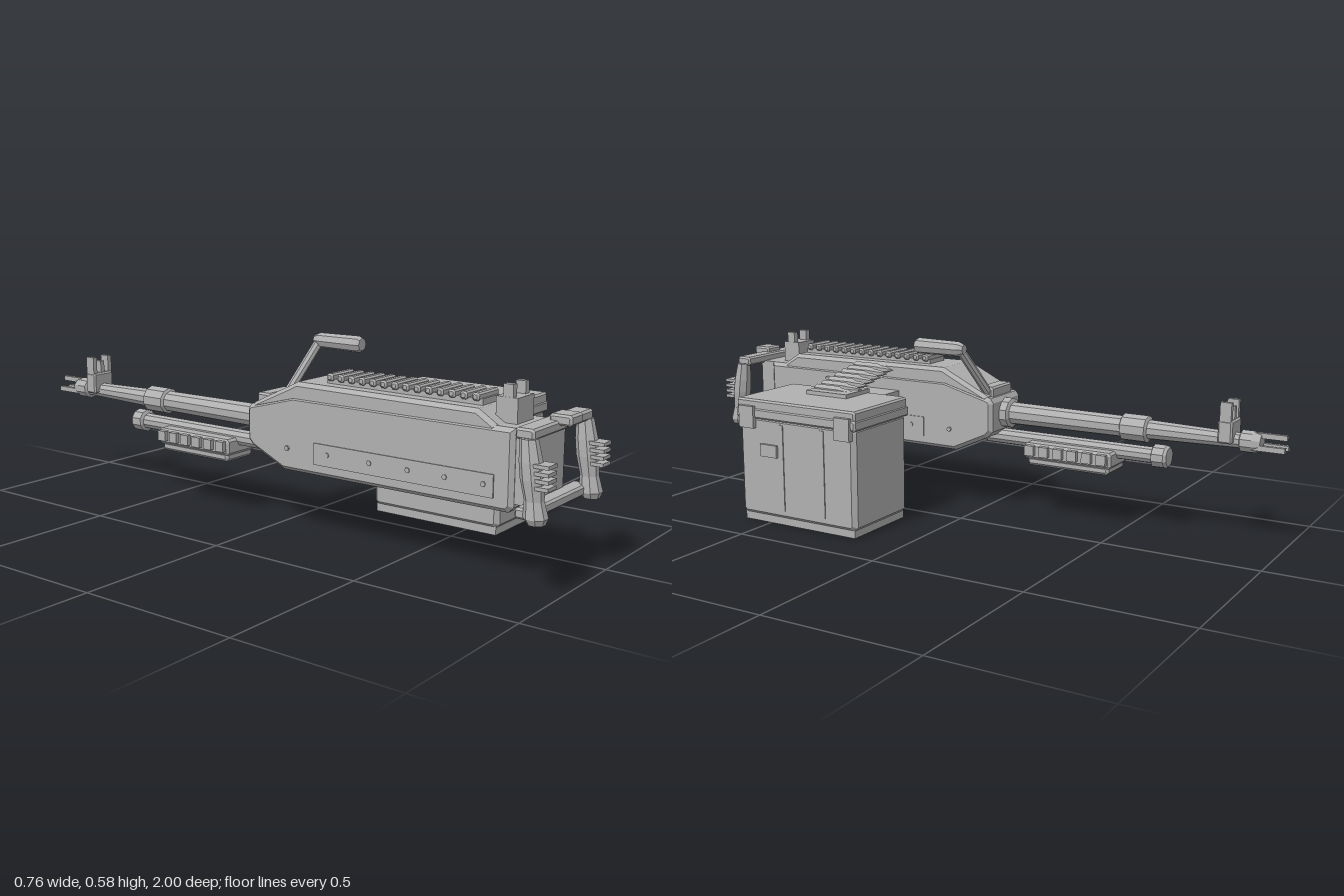
import * as THREE from 'three';

const CX = -0.19; // centre plane of the receiver and barrel

export function createModel() {
  const model = new THREE.Group();
  model.name = 'mountedGun';
  const grey = new THREE.MeshStandardMaterial({ color: 0xb0b0b0 });
  grey.name = 'gunmetalGrey';

  // Adds a facetted mesh
  function add(name, geometry, parent = model) {
    const g = geometry.index ? geometry.toNonIndexed() : geometry;
    g.computeVertexNormals();
    const m = new THREE.Mesh(g, grey);
    m.name = name;
    parent.add(m);
    return m;
  }
  function group(name) {
    const g = new THREE.Group();
    g.name = name;
    model.add(g);
    return g;
  }
  // Box given by its limits on each axis
  function box(name, x0, x1, y0, y1, z0, z1, parent) {
    const g = new THREE.BoxGeometry(x1 - x0, y1 - y0, z1 - z0);
    g.translate((x0 + x1) / 2, (y0 + y1) / 2, (z0 + z1) / 2);
    return add(name, g, parent);
  }
  // Side profile of [z, y] points, extruded across x with bevelled edges
  function profile(name, pts, x0, x1, b, parent) {
    const shape = new THREE.Shape(pts.map(([z, y]) => new THREE.Vector2(z, y)));
    const g = new THREE.ExtrudeGeometry(shape, {
      depth: x1 - x0 - 2 * b, bevelEnabled: true, bevelThickness: b,
      bevelSize: b, bevelOffset: -b, bevelSegments: 1,
    });
    g.rotateY(-Math.PI / 2);
    g.translate(x1 - b, 0, 0);
    return add(name, g, parent);
  }
  // Box with all its edges chamfered
  function chamferBox(name, x0, x1, y0, y1, z0, z1, c, parent) {
    return profile(name, [
      [z0 + c, y0], [z1 - c, y0], [z1, y0 + c], [z1, y1 - c],
      [z1 - c, y1], [z0 + c, y1], [z0, y1 - c], [z0, y0 + c],
    ], x0, x1, c, parent);
  }
  // Turned part along -z; points are [radius, distance towards the muzzle]
  function turned(name, pts, x, y, sides, parent) {
    const g = new THREE.LatheGeometry(pts.map(([r, d]) => new THREE.Vector2(r, d)), sides);
    g.rotateX(-Math.PI / 2);
    g.translate(x, y, 0);
    return add(name, g, parent);
  }
  // Straight rod between two points
  function rod(name, a, b, r, sides, parent) {
    const p = new THREE.Vector3(...a), q = new THREE.Vector3(...b);
    const g = new THREE.CylinderGeometry(r, r, p.distanceTo(q), sides);
    g.applyQuaternion(new THREE.Quaternion().setFromUnitVectors(
      new THREE.Vector3(0, 1, 0), q.clone().sub(p).normalize()));
    g.translate((p.x + q.x) / 2, (p.y + q.y) / 2, (p.z + q.z) / 2);
    return add(name, g, parent);
  }

  // Receiver with sloped nose, and top cover
  const receiver = group('receiver');
  profile('receiverBody', [
    [0.84, 0.2], [0.855, 0.215], [0.855, 0.43], [0.12, 0.43], [-0.05, 0.385],
    [-0.06, 0.37], [-0.06, 0.275], [-0.04, 0.255], [0.08, 0.2],
  ], -0.288, -0.092, 0.012, receiver);
  profile('topCover', [
    [0.8, 0.41], [0.8, 0.43], [0.74, 0.468], [0.13, 0.472], [0.1, 0.457],
    [-0.04, 0.39], [-0.04, 0.37], [0.12, 0.41],
  ], -0.284, -0.096, 0.012, receiver);
  box('rearBlock', -0.275, -0.105, 0.225, 0.43, 0.85, 0.91, receiver);
  for (const s of [-1, 1]) {
    const x = CX + s * 0.0985;
    box('sidePlate', x - 0.003, x + 0.003, 0.235, 0.3, 0.2, 0.8, receiver);
    for (const z of [0.1, 0.25, 0.4, 0.53, 0.65, 0.77]) {
      rod('rivet', [x - 0.006, 0.27, z], [x + 0.006, 0.27, z], 0.008, 6, receiver);
    }
  }

  // Ribbed rail on the cover
  const rail = group('topRail');
  box('railBase', CX - 0.045, CX + 0.045, 0.46, 0.486, 0.21, 0.73, rail);
  for (let i = 0; i < 14; i++) {
    const z = 0.225 + i * 0.0375;
    chamferBox('railRib', CX - 0.056, CX + 0.056, 0.48, 0.502, z - 0.011, z + 0.011, 0.005, rail);
  }

  // Rear sight with two posts
  const rear = group('rearSight');
  box('rearSightBase', CX - 0.045, CX + 0.045, 0.43, 0.5, 0.77, 0.835, rear);
  for (const s of [-1, 1]) {
    box('rearSightPost', CX + s * 0.034 - 0.01, CX + s * 0.034 + 0.01, 0.5, 0.535, 0.79, 0.82, rear);
  }

  // Spade grips between two crossbars
  const grips = group('spadeGrips');
  chamferBox('upperCrossbar', -0.36, -0.02, 0.423, 0.453, 0.895, 0.95, 0.006, grips);
  chamferBox('lowerCrossbar', -0.36, -0.02, 0.215, 0.245, 0.9, 0.95, 0.006, grips);
  chamferBox('trigger', CX - 0.035, CX + 0.035, 0.44, 0.47, 0.92, 0.985, 0.006, grips);
  for (const s of [-1, 1]) {
    const x = CX + s * 0.16;
    const g = new THREE.LatheGeometry([
      [0, 0.208], [0.024, 0.208], [0.033, 0.225], [0.026, 0.27], [0.032, 0.325],
      [0.031, 0.37], [0.024, 0.428], [0, 0.428],
    ].map(([r, y]) => new THREE.Vector2(r, y)), 8);
    g.rotateY(Math.PI / 8);
    // Lean the top of the grip towards the receiver
    const p = g.attributes.position;
    for (let i = 0; i < p.count; i++) p.setZ(i, p.getZ(i) + (0.32 - p.getY(i)) * 0.13);
    g.translate(x, 0, 0.945);
    add('grip', g, grips);
    for (let i = 0; i < 4; i++) {
      const y = 0.307 + i * 0.019;
      box('gripRidge', x - 0.023, x + 0.023, y - 0.005, y + 0.005, 0.955, 1, grips);
    }
  }

  // Barrel, collar and muzzle
  const barrel = group('barrel');
  turned('barrelTube', [
    [0, 0.03], [0.05, 0.03], [0.05, 0.085], [0.037, 0.09], [0.034, 0.48],
    [0.043, 0.485], [0.043, 0.565], [0.031, 0.57], [0.024, 0.85], [0.024, 0.86],
    [0.034, 0.865], [0.034, 0.9], [0.027, 0.925], [0, 0.925],
  ], CX, 0.327, 10, barrel);
  for (let i = 0; i < 3; i++) {
    const a = Math.PI / 2 + i * Math.PI * 2 / 3;
    const x = CX + Math.cos(a) * 0.023, y = 0.327 + Math.sin(a) * 0.023;
    box('muzzleProng', x - 0.007, x + 0.007, y - 0.008, y + 0.008, -1, -0.9, barrel);
  }

  // Front sight with three posts
  const front = group('frontSight');
  chamferBox('frontSightBase', CX - 0.042, CX + 0.042, 0.32, 0.39, -0.845, -0.8, 0.005, front);
  for (const i of [-1, 0, 1]) {
    box('frontSightPost', CX + i * 0.033 - 0.008, CX + i * 0.033 + 0.008, 0.385,
      i ? 0.445 : 0.43, -0.84, -0.805, front);
  }

  // Lower tube with ribbed foregrip
  const lower = group('lowerTube');
  turned('gasTube', [
    [0, 0], [0.026, 0], [0.026, 0.585], [0.037, 0.59], [0.037, 0.628], [0.03, 0.637], [0, 0.637],
  ], CX, 0.247, 10, lower);
  chamferBox('foregripBody', CX - 0.07, CX + 0.07, 0.198, 0.25, -0.47, -0.165, 0.008, lower);
  chamferBox('foregripBase', CX - 0.062, CX + 0.062, 0.176, 0.205, -0.46, -0.175, 0.008, lower);
  for (const s of [-1, 1]) {
    for (let i = 0; i < 6; i++) {
      const z = -0.19 - i * 0.0505;
      box('foregripRib', CX + s * 0.072 - 0.012, CX + s * 0.072 + 0.012, 0.212, 0.245, z - 0.016, z + 0.016, lower);
    }
  }

  // Carry handle on a lug at the nose
  const carry = group('carryHandle');
  chamferBox('handleLug', -0.255, -0.125, 0.37, 0.418, -0.045, 0.005, 0.006, carry);
  rod('handleArm', [-0.14, 0.39, -0.025], [-0.013, 0.555, 0.012], 0.015, 8, carry);
  turned('handleGrip', [
    [0, -0.175], [0.02, -0.175], [0.026, -0.165], [0.024, -0.015], [0.016, 0.005], [0, 0.005],
  ], -0.013, 0.555, 8, carry);

  // Feed tray and ammunition belt
  const feed = group('feed');
  box('feedTray', -0.1, 0.085, 0.35, 0.38, 0.3, 0.46, feed);
  box('feedOutlet', 0.08, 0.208, 0.398, 0.415, 0.3, 0.46, feed);
  box('sideBracket', -0.1, -0.035, 0.35, 0.38, 0.53, 0.6, feed);
  box('bracketLug', -0.1, -0.078, 0.375, 0.402, 0.53, 0.6, feed);
  for (let i = 0; i < 7; i++) {
    const x = -0.06 + i * 0.0362, y = 0.454 - i * 0.0073;
    turned('cartridge', [
      [0, -0.455], [0.018, -0.455], [0.018, -0.365], [0.012, -0.35], [0.011, -0.33], [0, -0.3],
    ], x, y, 6, feed);
    box('beltLink', x - 0.02, x + 0.018, y - 0.02, y - 0.006, 0.375, 0.42, feed);
  }

  // Ammunition box with lid, base, latches and pressed side ribs
  const ammo = group('ammoBox');
  chamferBox('boxBody', 0.08, 0.365, 0.02, 0.35, 0.157, 0.613, 0.014, ammo);
  box('boxBase', 0.088, 0.356, 0, 0.03, 0.167, 0.603, ammo);
  chamferBox('lidRim', 0.075, 0.37, 0.34, 0.375, 0.15, 0.62, 0.006, ammo);
  chamferBox('lid', 0.08, 0.366, 0.36, 0.402, 0.153, 0.617, 0.006, ammo);
  for (const z of [0.195, 0.57]) {
    box('latch', 0.36, 0.379, 0.31, 0.381, z - 0.029, z + 0.029, ammo);
  }
  box('labelPlate', 0.36, 0.374, 0.222, 0.262, 0.455, 0.52, ammo);
  for (const z of [0.28, 0.44]) {
    box('sideRib', 0.36, 0.368, 0.05, 0.33, z - 0.008, z + 0.008, ammo);
  }
  return model;
}
